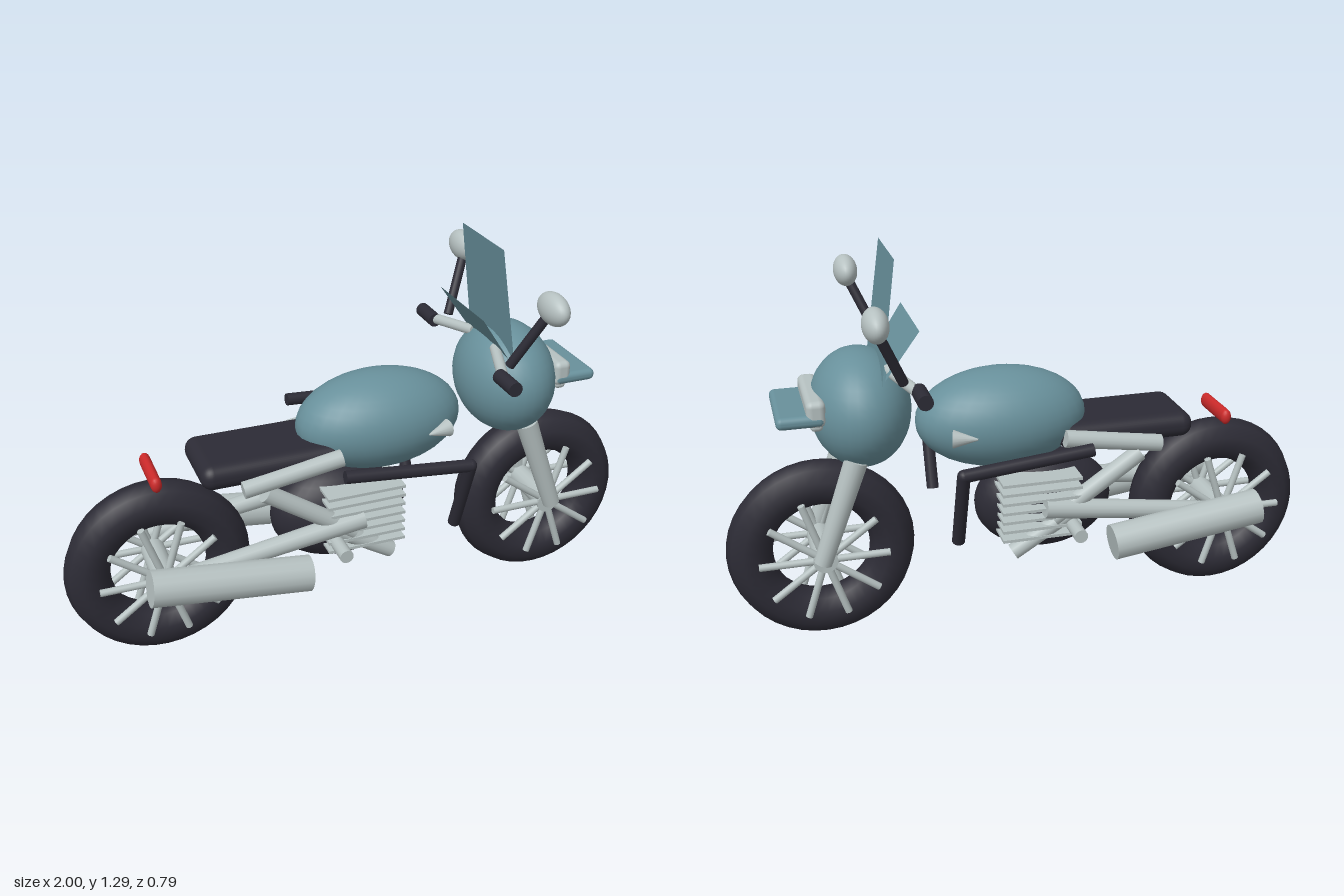
import * as THREE from 'three';
import { RoundedBoxGeometry } from 'three/addons/geometries/RoundedBoxGeometry.js';

const mat = (name, color, side = THREE.FrontSide) => {
  const m = new THREE.MeshStandardMaterial({ color, side });
  m.name = name;
  return m;
};

export function createModel() {
  const model = new THREE.Group();
  model.name = 'motorcycle';
  const teal = mat('tealPaint', 0x68909b, THREE.DoubleSide);
  const dark = mat('darkRubber', 0x2c2b35);
  const metal = mat('paleMetal', 0xb6c1c1);
  const red = mat('redLamp', 0xcc2a2a);

  const add = (name, geo, material, pos = [0, 0, 0], parent = model) => {
    const mesh = new THREE.Mesh(geo, material);
    mesh.name = name;
    mesh.position.set(...pos);
    parent.add(mesh);
    return mesh;
  };
  const ellipsoid = (name, pos, radii, material) => {
    const geo = new THREE.SphereGeometry(1, 32, 20).scale(...radii);
    return add(name, geo, material, pos);
  };
  // Straight rod between two points, r2 being the radius at the far end
  const rod = (name, a, b, r, material, r2 = r, parent = model) => {
    const p = new THREE.Vector3(...a), q = new THREE.Vector3(...b);
    const dir = q.clone().sub(p);
    const mesh = add(name, new THREE.CylinderGeometry(r2, r, dir.length(), 16), material,
      p.clone().add(q).multiplyScalar(0.5).toArray(), parent);
    mesh.quaternion.setFromUnitVectors(new THREE.Vector3(0, 1, 0), dir.normalize());
    return mesh;
  };
  // Flat sheet from a lower edge to an upper edge, each given as [x, y, halfWidth]
  const sheet = (name, [x0, y0, w0], [x1, y1, w1]) => {
    const geo = new THREE.BufferGeometry();
    geo.setAttribute('position', new THREE.Float32BufferAttribute(
      [x0, y0, w0, x0, y0, -w0, x1, y1, -w1, x1, y1, w1], 3));
    geo.setIndex([0, 1, 2, 0, 2, 3]);
    geo.computeVertexNormals();
    add(name, geo, teal);
  };

  // Wheels: tyre, hub and a spoked star on each side
  for (const [name, x] of [['frontWheel', 0.69], ['rearWheel', -0.69]]) {
    const wheel = new THREE.Group();
    wheel.name = name;
    wheel.position.set(x, 0.31, 0);
    model.add(wheel);
    add('tyre', new THREE.TorusGeometry(0.233, 0.075, 10, 40), dark, [0, 0, 0], wheel);
    rod('hub', [0, 0, -0.115], [0, 0, 0.115], 0.04, metal, 0.04, wheel);
    for (const z of [-0.1, 0.1]) {
      for (let i = 0; i < 10; i++) {
        const a = (i / 10) * Math.PI * 2;
        rod('spoke', [0, 0, z], [0.21 * Math.cos(a), 0.21 * Math.sin(a), z], 0.012, metal, 0.012, wheel);
      }
    }
  }

  // Bodywork
  ellipsoid('fuelTank', [0.08, 0.71, 0], [0.285, 0.165, 0.175], teal);
  ellipsoid('frontFairing', [0.54, 0.79, 0], [0.161, 0.19, 0.22], teal);
  ellipsoid('engineBlock', [-0.065, 0.398, 0], [0.238, 0.176, 0.13], dark);
  add('seat', new RoundedBoxGeometry(0.47, 0.085, 0.27, 4, 0.04), dark, [-0.32, 0.653, 0]);
  sheet('windscreen', [0.49, 0.9, 0.162], [0.435, 1.29, 0.147]);
  sheet('innerScreen', [0.5, 0.88, 0.14], [0.37, 1.07, 0.163]);

  // Front lamp and its visor
  add('frontVisor', new RoundedBoxGeometry(0.15, 0.04, 0.292, 3, 0.018), teal, [0.738, 0.803, 0]);
  add('headlamp', new RoundedBoxGeometry(0.06, 0.085, 0.29, 3, 0.02), metal, [0.69, 0.823, 0]);
  add('lowerTrim', new RoundedBoxGeometry(0.04, 0.04, 0.27, 3, 0.015), metal, [0.69, 0.785, 0]);

  // Tail lamp
  const lamp = new THREE.CapsuleGeometry(0.018, 0.164, 6, 16).rotateX(Math.PI / 2).scale(1, 1.5, 1);
  add('tailLamp', lamp, red, [-0.69, 0.653, 0]);

  // Engine cooling fins
  for (let i = 0; i < 7; i++) {
    add('coolingFin', new THREE.BoxGeometry(0.27, 0.01, 0.33), metal, [-0.02, 0.325 + i * 0.033, 0]);
  }

  // Parts paired on both sides
  for (const s of [1, -1]) {
    const r = (name, a, b, radius, material, r2 = radius) =>
      rod(name, [a[0], a[1], a[2] * s], [b[0], b[1], b[2] * s], radius, material, r2);

    r('forkLeg', [0.7, 0.31, 0.12], [0.575, 0.655, 0.12], 0.03, metal, 0.038);

    // Exhaust and rear frame
    r('muffler', [-0.762, 0.37, 0.218], [-0.245, 0.303, 0.218], 0.06, metal);
    r('swingArm', [-0.69, 0.335, 0.15], [-0.03, 0.425, 0.15], 0.028, metal, 0.035);
    r('seatFrame', [-0.43, 0.61, 0.14], [-0.1, 0.66, 0.14], 0.029, metal);
    r('rearStrut', [-0.36, 0.585, 0.14], [-0.06, 0.38, 0.14], 0.03, metal);
    r('lowerPipe', [-0.12, 0.39, 0.135], [0.075, 0.27, 0.135], 0.028, metal);
    r('footPeg', [-0.125, 0.355, 0.05], [-0.125, 0.355, 0.25], 0.023, metal);

    // Side guard bar, bent down towards the engine
    const guard = [[-0.145, 0.678, 0.29], [0.275, 0.645, 0.308], [0.275, 0.375, 0.207]];
    r('guardRail', guard[0], guard[1], 0.021, dark);
    r('guardDrop', guard[1], guard[2], 0.021, dark);
    add('guardCorner', new THREE.SphereGeometry(0.021, 16, 10), dark, [guard[1][0], guard[1][1], guard[1][2] * s]);

    // Handlebar, grip and mirror
    r('handlebar', [0.395, 0.912, 0.27], [0.46, 0.93, 0.08], 0.018, metal);
    r('grip', [0.393, 0.912, 0.245], [0.393, 0.912, 0.355], 0.024, dark);
    r('mirrorStem', [0.435, 0.935, 0.23], [0.518, 1.12, 0.3], 0.016, dark);
    ellipsoid('mirror', [0.524, 1.148, 0.32 * s], [0.039, 0.051, 0.077], metal);

    // Small cone on the tank side
    r('tankCone', [0.27, 0.7, 0.14], [0.195, 0.7, 0.165], 0.03, metal, 0.003);
  }
  return model;
}
